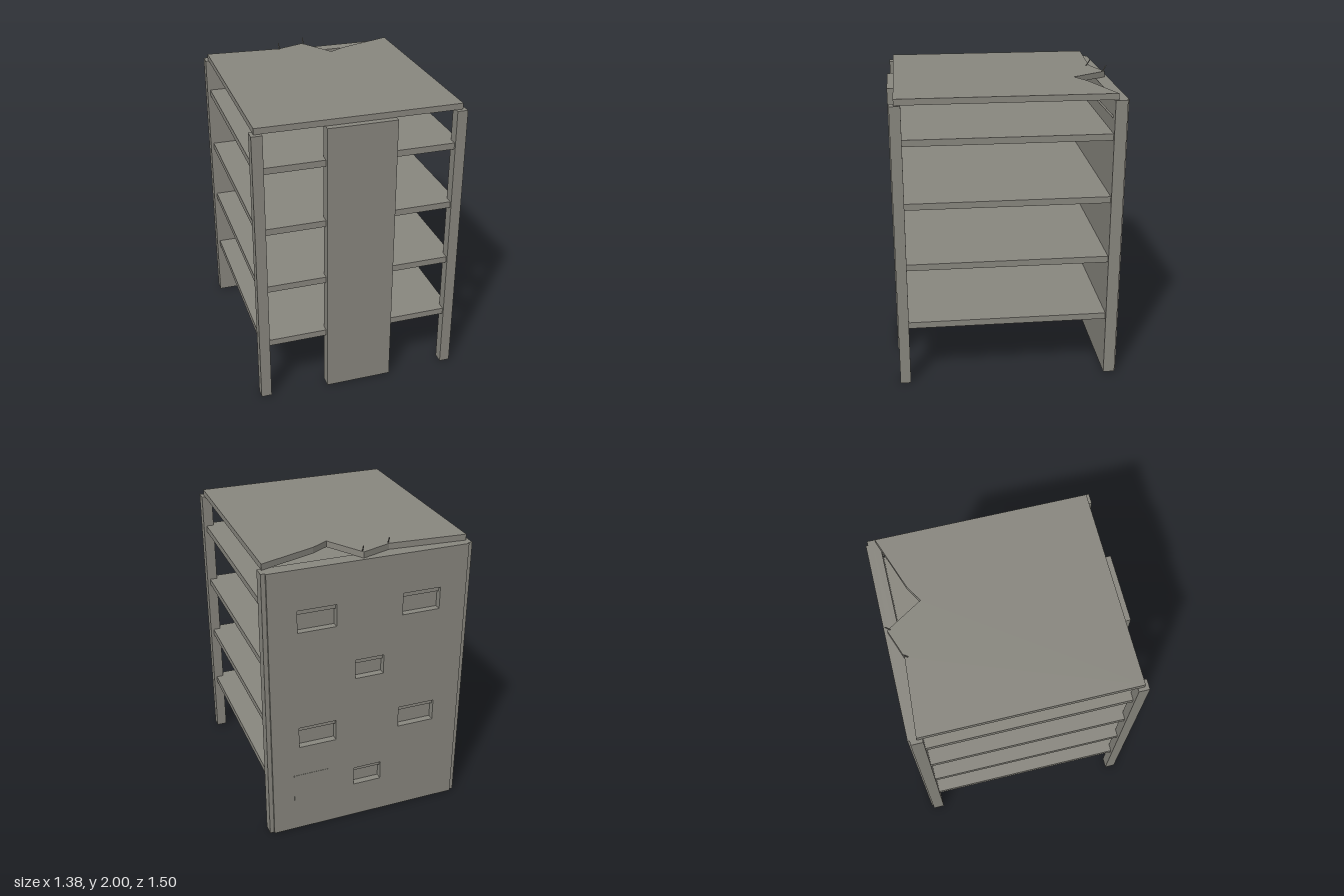
import * as THREE from 'three';

export function createModel() {
  const model = new THREE.Group();
  const concrete = new THREE.MeshStandardMaterial({ color: 0x8a8880 });
  concrete.name = 'concrete';

  function add(name, geometry) {
    const mesh = new THREE.Mesh(geometry, concrete);
    mesh.name = name;
    model.add(mesh);
    return mesh;
  }
  // Box given by its limits along each axis
  function box(name, x0, x1, y0, y1, z0, z1) {
    const mesh = add(name, new THREE.BoxGeometry(x1 - x0, y1 - y0, z1 - z0));
    mesh.position.set((x0 + x1) / 2, (y0 + y1) / 2, (z0 + z1) / 2);
  }
  // Thin bar between two points
  function bar(name, from, to, radius) {
    const a = new THREE.Vector3(...from), b = new THREE.Vector3(...to);
    const mesh = add(name, new THREE.CylinderGeometry(radius, radius, a.distanceTo(b), 8));
    mesh.position.copy(a).lerp(b, 0.5);
    mesh.quaternion.setFromUnitVectors(new THREE.Vector3(0, 1, 0), b.sub(a).normalize());
  }

  const top = 1.92;

  // Corner columns
  for (const side of [-1, 1]) {
    const x0 = side < 0 ? -0.69 : 0.62;
    box('frontColumn', x0, x0 + 0.07, 0, top, 0.662, 0.732);
    box('backColumn', x0, x0 + 0.07, 0, top, -0.737, -0.66);
  }

  // Floor slabs
  for (let i = 0; i < 4; i++) {
    const y = 0.402 + i * 0.419;
    box('floorSlab', -0.67, 0.67, y, y + 0.043, -0.67, 0.717);
  }

  // Front shear wall
  box('frontWall', -0.228, 0.225, 0, top, 0.668, 0.747);

  // Back wall: plain inner leaf, outer leaf with window openings
  box('backWallInner', -0.662, 0.662, 0, top, -0.705, -0.66);
  const wall = new THREE.Shape([[-0.662, 0], [0.662, 0], [0.662, top], [-0.662, top]]
    .map(p => new THREE.Vector2(...p)));
  for (const y of [0.66, 1.5]) {
    const windows = [[0.22, 0.475, y, y + 0.15], [-0.48, -0.225, y, y + 0.15],
      [-0.105, 0.09, y - 0.4, y - 0.265]];
    for (const [x0, x1, y0, y1] of windows) {
      wall.holes.push(new THREE.Path([[x0, y0], [x0, y1], [x1, y1], [x1, y0]]
        .map(p => new THREE.Vector2(...p))));
      // Stepped lintel inside the opening
      box('windowLintel', x0, x1, y1 - 0.035, y1, -0.728, -0.704);
    }
  }
  const outer = add('backWallOuter', new THREE.ExtrudeGeometry(wall, { depth: 0.045, bevelEnabled: false }));
  outer.position.z = -0.75;
  box('blindWindow', 0.275, 0.515, 0.205, 0.44, -0.752, -0.749);

  // Roof slab with a broken back edge, outlined as x, z
  const outline = [[-0.668, 0.705], [0.668, 0.705], [0.668, -0.685], [0.3, -0.555],
    [0.19, -0.49], [0.04, -0.73], [-0.155, -0.66], [-0.668, -0.695]];
  const roofGeometry = new THREE.ExtrudeGeometry(
    new THREE.Shape(outline.map(([x, z]) => new THREE.Vector2(x, -z))),
    { depth: 0.04, bevelEnabled: false });
  roofGeometry.rotateX(-Math.PI / 2);
  add('brokenRoof', roofGeometry).position.y = top;

  // Exposed reinforcing bars
  bar('reinforcingBar', [-0.159, 1.94, -0.63], [-0.154, 2, -0.665], 0.004);
  bar('reinforcingBar', [0.041, 1.94, -0.7], [0.046, 2, -0.735], 0.004);
  bar('hangingBar', [0.6, 1.925, -0.545], [0.632, 1.8, -0.662], 0.007);

  return model;
}
